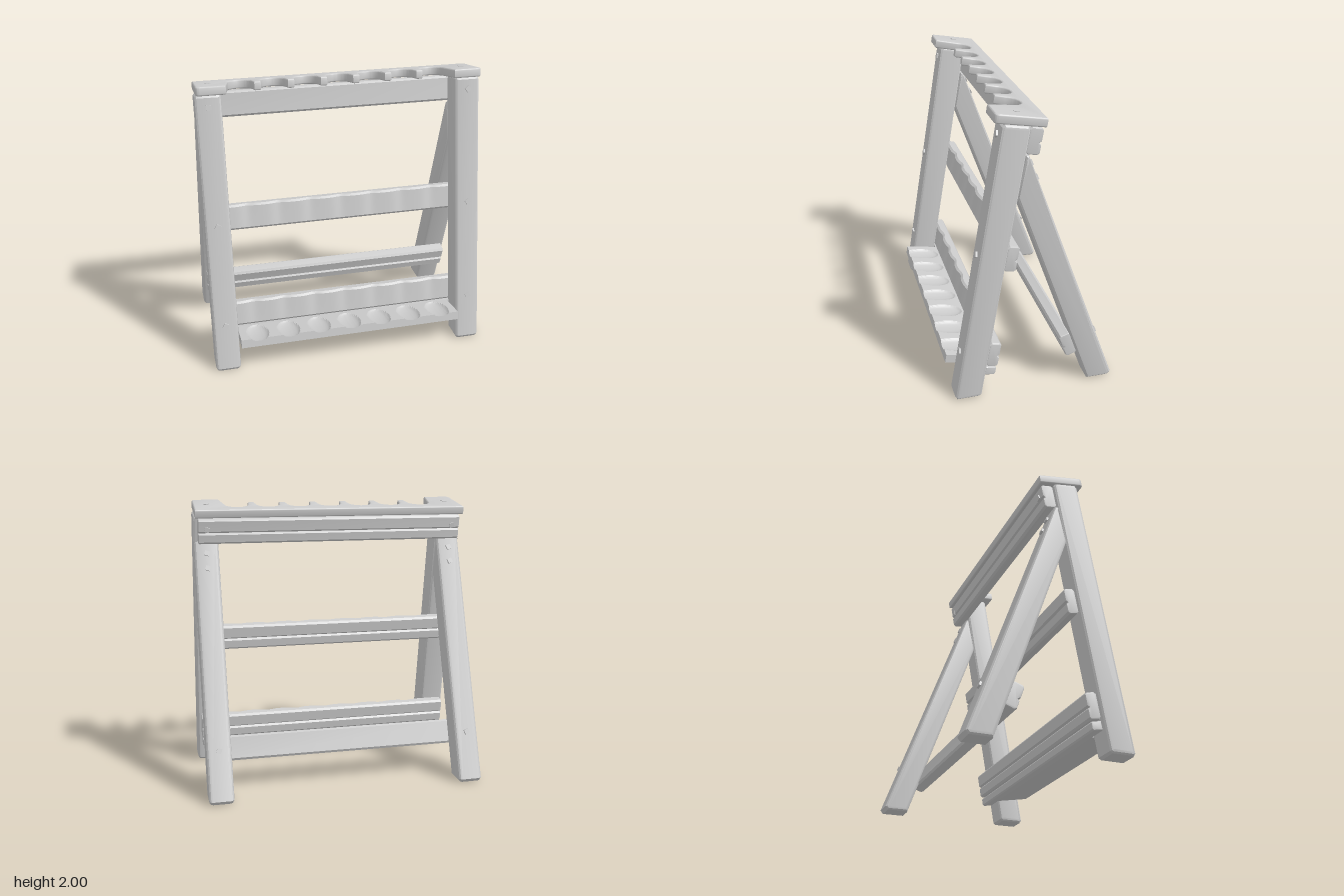
import * as THREE from 'three';
import { toCreasedNormals } from 'three/addons/utils/BufferGeometryUtils.js';

const material = new THREE.MeshStandardMaterial({ color: 0xcccccc });
const FRONT_TILT = 0.166, BACK_TILT = 0.349;
const SLOTS = [3, 2, 1, 0, -1, -2, -3].map(i => i * 0.224);

function add(parent, name, geometry, x = 0, y = 0, z = 0) {
  const mesh = new THREE.Mesh(geometry, material);
  mesh.name = name;
  mesh.position.set(x, y, z);
  parent.add(mesh);
  return mesh;
}

// Extrusion centred on its depth, with bevels kept inside the outline
function extrude(shape, depth, bevel, steps = 1) {
  const geo = new THREE.ExtrudeGeometry(shape, {
    depth: depth - 2 * bevel, steps, curveSegments: 14, bevelEnabled: true,
    bevelSize: bevel, bevelThickness: bevel, bevelOffset: -bevel, bevelSegments: 3,
  });
  return geo.translate(0, 0, bevel - depth / 2);
}

const outline = pts => new THREE.Shape(pts.map(p => new THREE.Vector2(...p)));

// Side profile of (z, y) points, extruded along x
function sideProfile(pts, width, bevel, steps) {
  return extrude(outline(pts), width, bevel, steps).rotateY(-Math.PI / 2);
}

// Crossbar with a split line on one face and hollows worn in its top front edge
function railGeometry(height, thick, notchSide, worn) {
  const h = height / 2, t = thick / 2, c = 0.014, n = -0.01;
  let pts = [
    [-t + c, -h], [t - c, -h], [t, -h + c], [t, h - c], [t - c, h], [-t + c, h], [-t, h - c],
    [-t, n + 0.012], [-t + 0.014, n], [-t, n - 0.012], [-t, -h + c],
  ];
  if (notchSide > 0) pts = pts.map(([z, y]) => [-z, y]).reverse();
  const geo = sideProfile(pts, 1.91, 0.009, worn ? 120 : 1);
  if (worn) {
    const p = geo.attributes.position;
    for (let i = 0; i < p.count; i++) {
      if (p.getZ(i) < 0 || p.getY(i) < h - 0.03) continue;
      let dip = 0;
      for (const s of SLOTS) dip += 0.016 * Math.exp(-(((p.getX(i) - s) / 0.05) ** 2));
      p.setZ(i, p.getZ(i) - dip);
    }
    geo.computeVertexNormals();
  }
  return toCreasedNormals(geo, 0.5);
}

// Top board with a row of U-shaped cut-outs along its front
function topBoardGeometry() {
  const s = new THREE.Shape();
  const front = 0.145, tip = 0.045, back = -0.185, e = 0.975, r = 0.03;
  s.moveTo(-e, back);
  s.lineTo(e, back);
  s.lineTo(e, front - r);
  s.quadraticCurveTo(e, front, e - r, front);
  s.lineTo(0.78, front);
  SLOTS.forEach((x, i) => {
    if (i > 0) s.lineTo(x + 0.09, tip);
    s.lineTo(x + 0.08, -0.02);
    s.absellipse(x, -0.02, 0.08, 0.08, 0, Math.PI, true);
    if (i < SLOTS.length - 1) s.lineTo(x - 0.09, tip);
  });
  s.lineTo(-0.78, front);
  s.lineTo(-e + r, front);
  s.quadraticCurveTo(-e, front, -e, front - r);
  return toCreasedNormals(extrude(s, 0.06, 0.01).rotateX(Math.PI / 2), 0.6);
}

// Lower shelf with shallow oval scoops under the cut-outs
function shelfGeometry() {
  const geo = new THREE.BoxGeometry(1.6, 0.06, 0.245, 200, 1, 30).translate(0, 0, 0.0275);
  const p = geo.attributes.position;
  for (let i = 0; i < p.count; i++) {
    if (p.getY(i) < 0) continue;
    const z = p.getZ(i) - 0.04;
    for (const s of SLOTS) {
      const d = ((p.getX(i) - s) / 0.076) ** 2 + (z / (z < 0 ? 0.125 : 0.16)) ** 2;
      if (d < 1) p.setY(i, 0.03 - 0.026 * Math.sqrt(1 - d));
    }
  }
  geo.computeVertexNormals();
  return toCreasedNormals(geo, 0.6);
}

export function createModel() {
  const model = new THREE.Group();
  model.name = 'standingRack';

  // Front frame, leaning back
  const front = new THREE.Group();
  front.name = 'frontFrame';
  front.position.z = 0.46;
  front.rotation.x = -FRONT_TILT;
  model.add(front);

  const legGeo = toCreasedNormals(sideProfile(
    [[0.075, -0.012], [0.09, 0.005], [0.09, 1.925], [0.075, 1.945],
      [-0.075, 1.945], [-0.09, 1.925], [-0.09, 0.03], [-0.075, 0.014]], 0.175, 0.026), 0.5);
  const backLegGeo = toCreasedNormals(sideProfile(
    [[-0.385, 0.004], [-0.54, 0.004], [-0.56, 0.03], [0.06, 1.72], [0.08, 1.72], [0.135, 1.45]],
    0.172, 0.026), 0.5);
  const pegGeo = new THREE.BoxGeometry(0.034, 0.034, 0.03);

  for (const side of [-1, 1]) {
    const label = side > 0 ? 'left' : 'right', x = side * 0.895;
    add(front, label + 'FrontLeg', legGeo, x);
    add(model, label + 'BackLeg', backLegGeo, x);

    // Square peg heads on the front legs, top rail and top board
    [0.33, 1.05, 1.86].forEach((y, i) => {
      add(front, label + 'FrontPeg', pegGeo, x, y, 0.088).rotation.z =
        i === 2 && side < 0 ? 0 : side * (0.45 + 0.1 * i);
    });
    add(front, label + 'RailPeg', pegGeo, x, 1.865, -0.175).rotation.z = side * 0.3;
    add(front, label + 'BoardPeg', pegGeo, x * 0.985, 1.994, -0.01).rotation.set(Math.PI / 2, 0, side * 0.15);

    // Peg heads on the back legs
    for (const y of [0.35, 1.54, 1.64]) {
      const peg = add(model, label + 'BackPeg', pegGeo, x, y, -0.57 + 0.367 * y);
      peg.rotation.set(BACK_TILT, 0, side * 0.35);
    }
  }

  // Crossbars behind the front legs
  add(front, 'topRail', railGeometry(0.175, 0.09, -1, false), 0, 1.848, -0.135);
  const wornRail = railGeometry(0.18, 0.08, -1, true);
  add(front, 'middleRail', wornRail, 0, 1.05, -0.13);
  add(front, 'lowerRail', wornRail, 0, 0.33, -0.13);

  add(front, 'topBoard', topBoardGeometry(), 0, 1.975, 0);

  // Shelf between the legs, with a wider rear strip behind them
  add(front, 'scoopedShelf', shelfGeometry(), 0, 0.201, 0);
  const strip = sideProfile(
    [[-0.165, -0.02], [-0.155, -0.03], [-0.092, -0.03], [-0.092, 0.03], [-0.155, 0.03], [-0.165, 0.02]], 1.9, 0.008);
  add(front, 'shelfRearStrip', toCreasedNormals(strip, 0.5), 0, 0.201, 0);

  // Crossbar on the inside of the back legs
  add(model, 'backRail', railGeometry(0.175, 0.085, 1, false), 0, 0.295, -0.245).rotation.x = BACK_TILT;

  return model;
}
